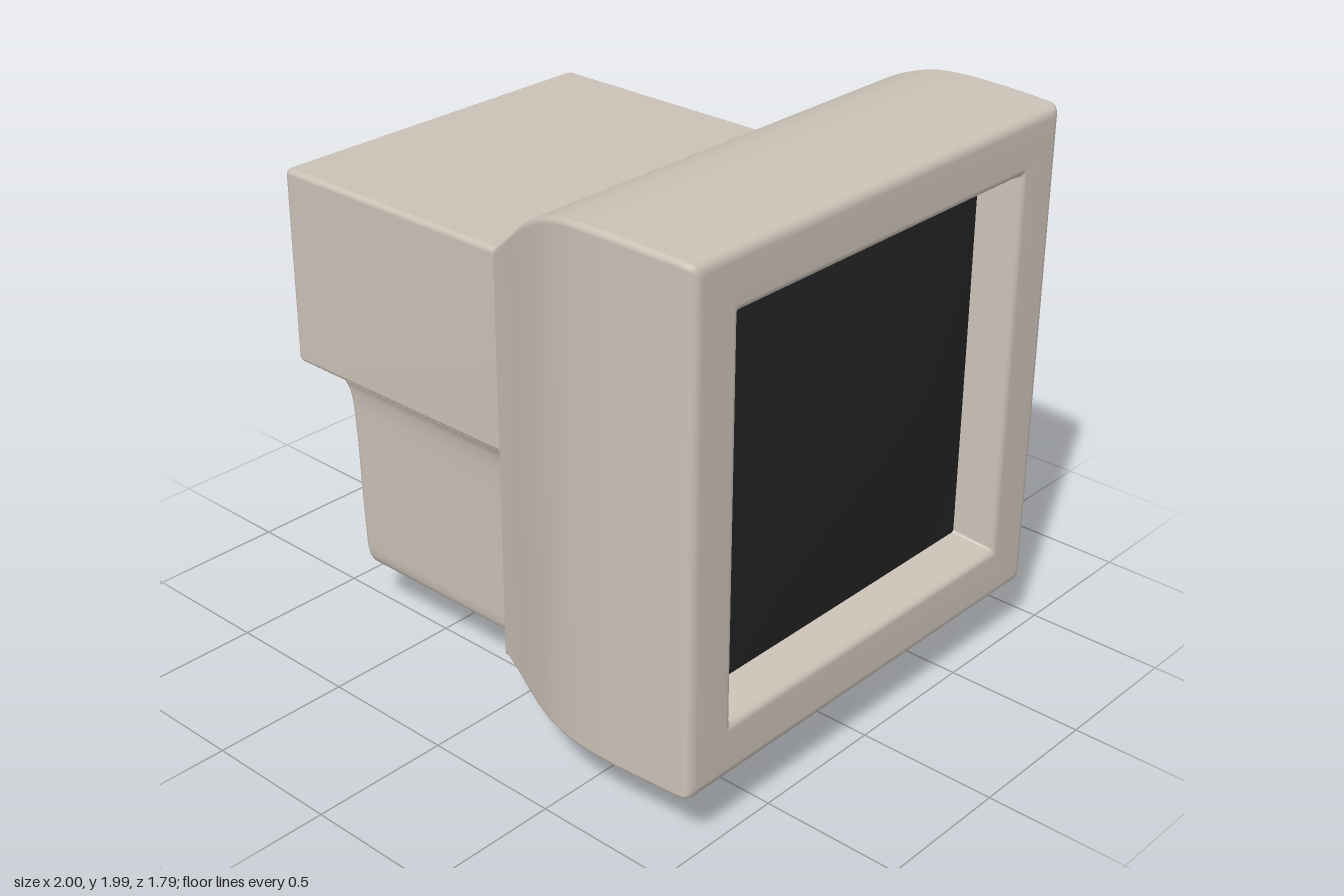
import * as THREE from 'three';

const shell = new THREE.MeshStandardMaterial({ color: 0xcbc1b6, side: THREE.DoubleSide });
const glass = new THREE.MeshStandardMaterial({ color: 0x222222 });

// Skin over closed rings of points; optional flat caps on the first and last ring.
function loft(rings, capStart, capEnd) {
  const n = rings[0].length, pos = [], idx = [];
  const add = (p) => pos.push(p.x, p.y, p.z) / 3 - 1;
  rings.forEach((ring) => ring.forEach(add));
  for (let i = 0; i < rings.length - 1; i++) {
    for (let j = 0; j < n; j++) {
      const a = i * n + j, b = i * n + (j + 1) % n;
      idx.push(a, b, a + n, b, b + n, a + n);
    }
  }
  const cap = (ring, flip) => {
    const mid = ring.reduce((s, p) => s.add(p), new THREE.Vector3()).divideScalar(n);
    const c = add(mid), first = pos.length / 3;
    ring.forEach(add);
    for (let j = 0; j < n; j++) {
      const a = first + j, b = first + (j + 1) % n;
      idx.push(c, flip ? b : a, flip ? a : b);
    }
  };
  if (capStart) cap(rings[0], true);
  if (capEnd) cap(rings[rings.length - 1], false);
  const g = new THREE.BufferGeometry();
  g.setAttribute('position', new THREE.Float32BufferAttribute(pos, 3));
  g.setIndex(idx);
  g.computeVertexNormals();
  return g;
}

// Rounded rectangle standing across the x axis.
function section(x, half, bottom, top, r = 0.02) {
  const ring = [];
  for (let q = 0; q < 4; q++) {
    const right = q === 0 || q === 3, up = q < 2;
    for (let k = 0; k <= 4; k++) {
      const a = (q + k / 4) * Math.PI / 2;
      ring.push(new THREE.Vector3(x,
        (up ? top - r : bottom + r) + r * Math.sin(a),
        -((right ? half - r : r - half) + r * Math.cos(a))));
    }
  }
  return ring;
}

// Horizontal outline of the lower rear block, with fillets flowing into the front housing.
function plan(y, back, w) {
  const f = 0.68 - w, r = 0.03, side = [];
  for (let k = 0; k <= 6; k++) {
    const a = k / 6 * Math.PI / 2;
    side.push([-f + f * Math.cos(a), w + f - f * Math.sin(a)]);
  }
  for (let k = 0; k <= 4; k++) {
    const a = k / 4 * Math.PI / 2;
    side.push([back + r - r * Math.sin(a), w - r + r * Math.cos(a)]);
  }
  return [
    ...side.map(([x, z]) => new THREE.Vector3(x, y, -z)),
    ...side.slice().reverse().map(([x, z]) => new THREE.Vector3(x, y, z)),
  ];
}

export function createModel() {
  const model = new THREE.Group();
  const part = (name, geometry, material = shell) => {
    const mesh = new THREE.Mesh(geometry, material);
    mesh.name = name;
    model.add(mesh);
    return mesh;
  };

  // Front housing: flared outside, rolled front edge, then the screen recess
  const flare = new THREE.CatmullRomCurve3([
    [0, 1.68, 0.68], [0.1, 1.755, 0.725], [0.2, 1.833, 0.775], [0.3, 1.9, 0.823],
    [0.4, 1.953, 0.862], [0.5, 1.982, 0.886], [0.6, 1.99, 0.895], [0.75, 1.99, 0.895], [0.95, 1.983, 0.887],
  ].map((p) => new THREE.Vector3(...p)));
  const housing = flare.getPoints(40).map((p) =>
    section(p.x, p.z, 0.2 + 0.007 * THREE.MathUtils.smoothstep(p.x, 0.6, 0.95), p.y));
  for (const [x, inset] of [[0.97, 0.002], [0.982, 0.006], [0.992, 0.014], [0.998, 0.026], [1, 0.04]]) {
    housing.push(section(x, 0.887 - inset, 0.207 + inset, 1.983 - inset));
  }
  for (const [x, half] of [[1, 0.715], [0.997, 0.702], [0.988, 0.692], [0.97, 0.685], [0.89, 0.66], [0.85, 0.645]]) {
    housing.push(section(x, half, 1.095 - half, 1.095 + half, 0.01));
  }
  part('frontHousing', loft(housing, true, false));

  // Slightly domed screen
  const size = 1.31;
  const screen = new THREE.PlaneGeometry(size, size, 20, 20);
  const p = screen.attributes.position;
  for (let i = 0; i < p.count; i++) {
    const u = p.getX(i) / size * 2, v = p.getY(i) / size * 2;
    p.setZ(i, 0.035 * (1 - u * u) * (1 - v * v));
  }
  screen.computeVertexNormals();
  screen.rotateY(Math.PI / 2).translate(0.86, 1.095, 0);
  part('screen', screen, glass);

  // Upper rear box with a small bevel
  const rear = [[-1, 0.02], [-0.998, 0.011], [-0.991, 0.003], [-0.98, 0], [0.01, 0]]
    .map(([x, d]) => section(x, 0.68 - d, 0.965 + d, 1.68 - d));
  part('upperRearBox', loft(rear, true, true));

  // Lower rear block: [y, back x, half width], rounded below and flared under the upper box
  const lower = [
    [0.2, -0.76, 0.56], [0.204, -0.778, 0.575], [0.216, -0.793, 0.587], [0.235, -0.8, 0.594], [0.27, -0.806, 0.598],
    [0.45, -0.813, 0.6], [0.7, -0.82, 0.602], [0.83, -0.826, 0.605], [0.89, -0.833, 0.611],
    [0.925, -0.844, 0.621], [0.948, -0.86, 0.637], [0.96, -0.88, 0.655], [0.966, -0.905, 0.67],
  ].map((a) => plan(...a));
  part('lowerRearBlock', loft(lower, true, true));

  // Round pedestal with a concave neck
  const profile = [
    [0, 0], [0.49, 0.005], [0.512, 0.009], [0.52, 0.017], [0.516, 0.04], [0.508, 0.049], [0.49, 0.052],
    [0.42, 0.056], [0.355, 0.068], [0.3, 0.088], [0.258, 0.118], [0.231, 0.155], [0.219, 0.19], [0.215, 0.22],
  ].map(([r, y]) => new THREE.Vector2(r, y));
  part('pedestal', new THREE.LatheGeometry(profile, 64)).position.x = 0.215;

  return model;
}
